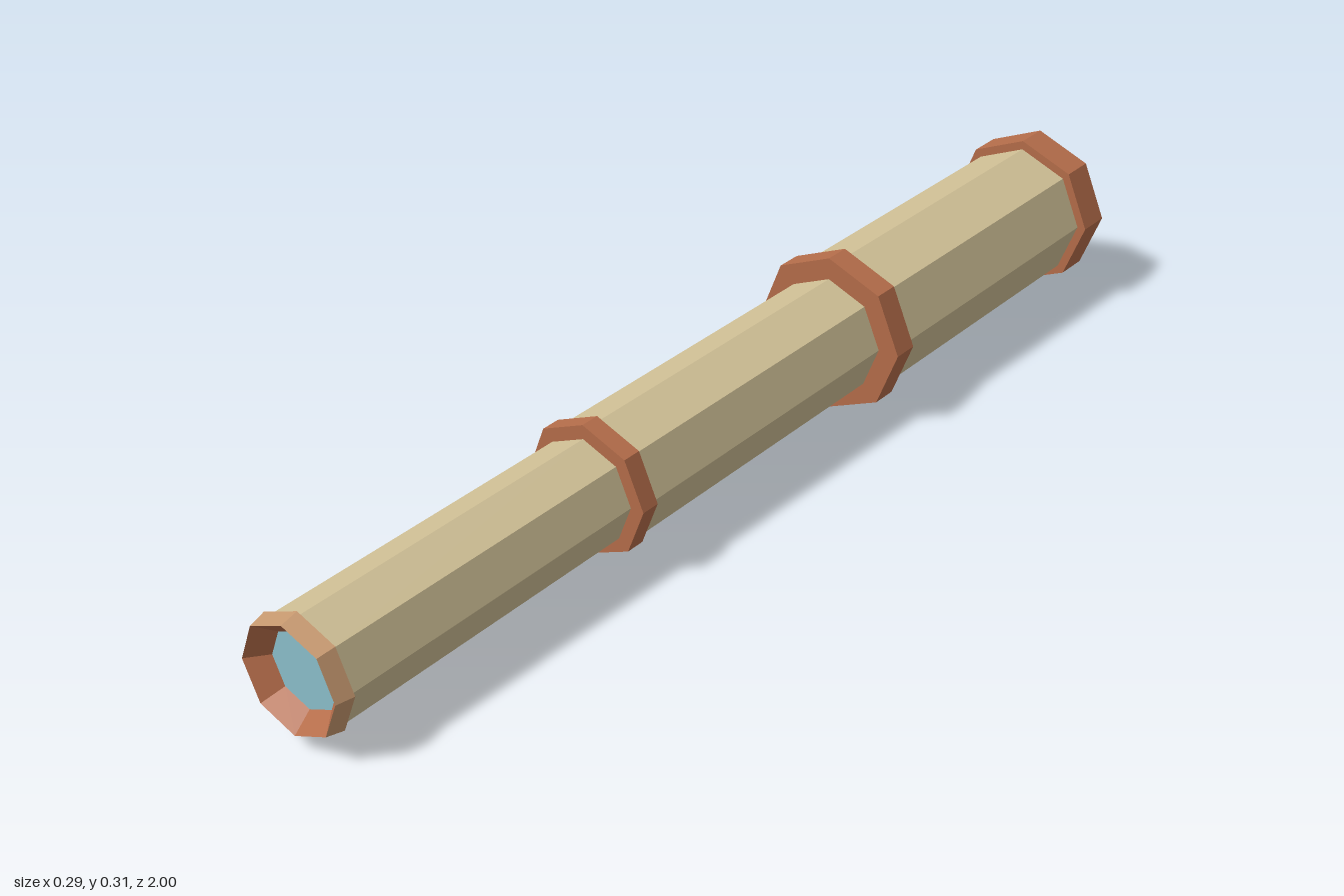
import * as THREE from 'three';

const material = (name, color) => {
  const m = new THREE.MeshStandardMaterial({ color });
  m.name = name;
  return m;
};

export function createModel() {
  const cream = material('cream', 0xd0c096);
  const brown = material('brown', 0xb56d4a);
  const tan = material('tan', 0xc6986f);
  const glass = material('glass', 0x8cbfcb);

  const model = new THREE.Group();
  model.name = 'spyglass';

  // Eight-sided faceted ring around the z axis; profile is [radius, z],
  // running from back to front on the outside
  const turned = (name, mat, profile) => {
    const points = profile.map(([r, z]) => new THREE.Vector2(r, z));
    const geometry = new THREE.LatheGeometry(points, 8).rotateX(Math.PI / 2).toNonIndexed();
    geometry.computeVertexNormals();
    const mesh = new THREE.Mesh(geometry, mat);
    mesh.name = name;
    model.add(mesh);
  };

  // Three telescoping tubes: radius, back z, front z
  [
    ['rearTube', 0.130, -0.94, -0.31],
    ['middleTube', 0.107, -0.31, 0.35],
    ['frontTube', 0.092, 0.35, 0.975],
  ].forEach(([name, r, z0, z1]) => turned(name, cream, [[r, z0], [r, z1]]));

  // Collars where the tubes join
  [
    ['rearCollar', 0.147, 0.107, -0.336, -0.288],
    ['frontCollar', 0.117, 0.092, 0.333, 0.368],
  ].forEach(([name, r, inner, z0, z1]) =>
    turned(name, brown, [[inner, z0], [r, z0], [r, z1], [inner, z1]]));

  // Large end cap with a recessed opening
  turned('rearCap', brown, [
    [0.088, -0.975], [0.088, -0.996], [0.147, -0.996], [0.147, -0.931], [0.128, -0.931],
  ]);
  // Domed lens in the large end
  turned('rearLens', glass, [[0, -1], [0.045, -0.995], [0.089, -0.978]]);

  // Flared eyepiece rim, its funnel and lens
  turned('eyepieceRim', tan, [[0.09, 0.967], [0.1, 0.967], [0.093, 0.998]]);
  turned('eyepieceFunnel', brown, [[0.093, 0.998], [0.066, 0.966]]);
  turned('frontLens', glass, [[0.067, 0.966], [0, 0.966]]);

  // Slight tilt, resting on the rear collar
  model.rotation.x = 0.022;
  model.position.y = 0.141;

  const group = new THREE.Group();
  group.add(model);
  return group;
}
